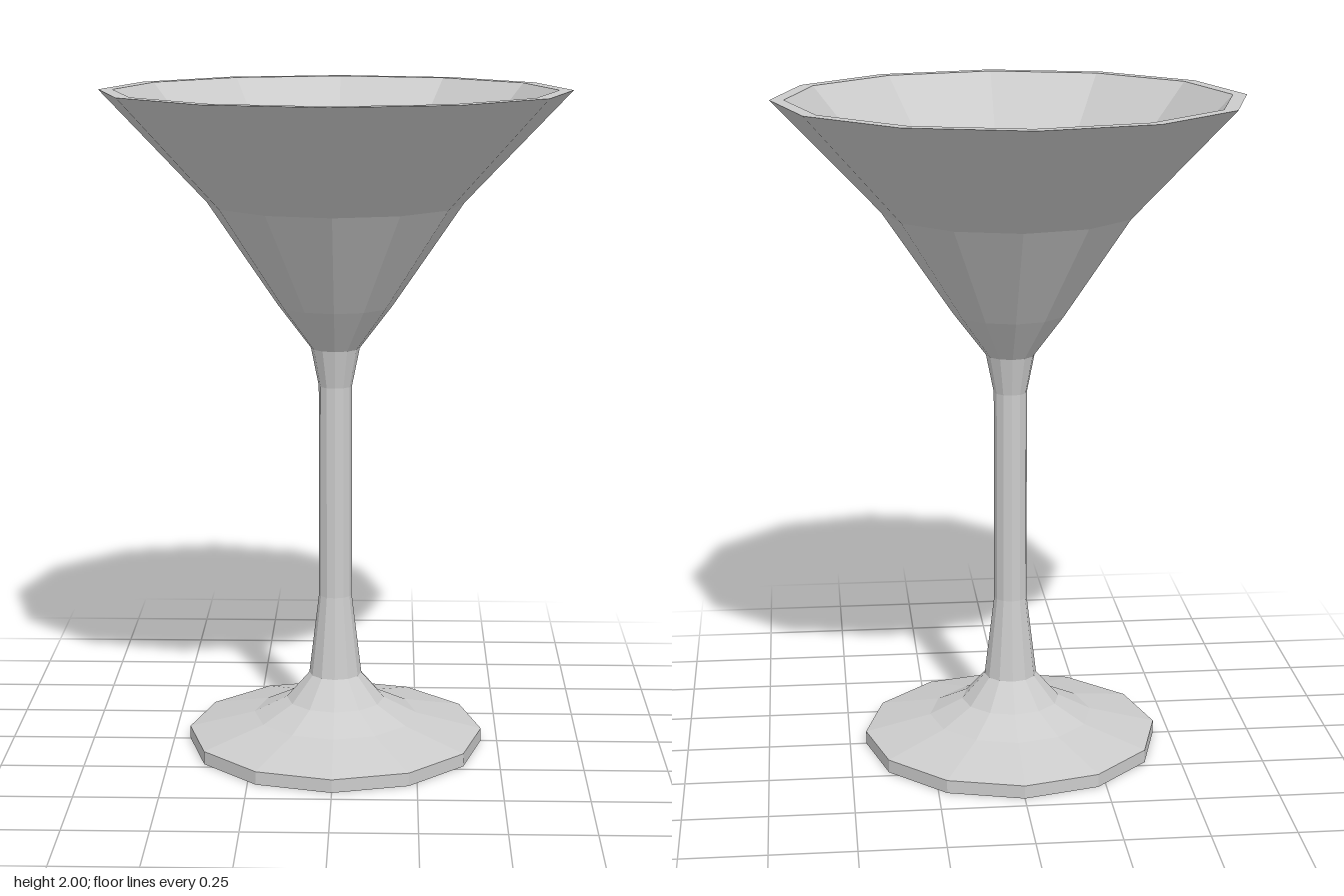
import * as THREE from 'three';

const SIDES = 12;

// Faceted turned part from a [radius, height] profile
function turned(name, profile) {
  const points = profile.map(([r, y]) => new THREE.Vector2(r, y));
  const material = new THREE.MeshStandardMaterial({ color: 0xcccccc, flatShading: true });
  const mesh = new THREE.Mesh(new THREE.LatheGeometry(points, SIDES), material);
  mesh.name = name;
  return mesh;
}

export function createModel() {
  const glass = new THREE.Group();
  glass.name = 'cocktailGlass';

  // Flat underside, thin edge and concave top rising to the stem
  glass.add(turned('foot', [
    [0, 0], [0.45, 0], [0.45, 0.04], [0.25, 0.09], [0.15, 0.14], [0.08, 0.22],
  ]));

  // Slim stem, flared at both ends
  glass.add(turned('stem', [
    [0.08, 0.22], [0.05, 0.47], [0.05, 1.12], [0.073, 1.235],
  ]));

  // Outer wall, flat rim, then the inner wall down to the well
  glass.add(turned('bowl', [
    [0.073, 1.235], [0.172, 1.365], [0.38, 1.67], [0.695, 2],
    [0.653, 2], [0.357, 1.68], [0.08, 1.29], [0, 1.275],
  ]));

  return glass;
}
